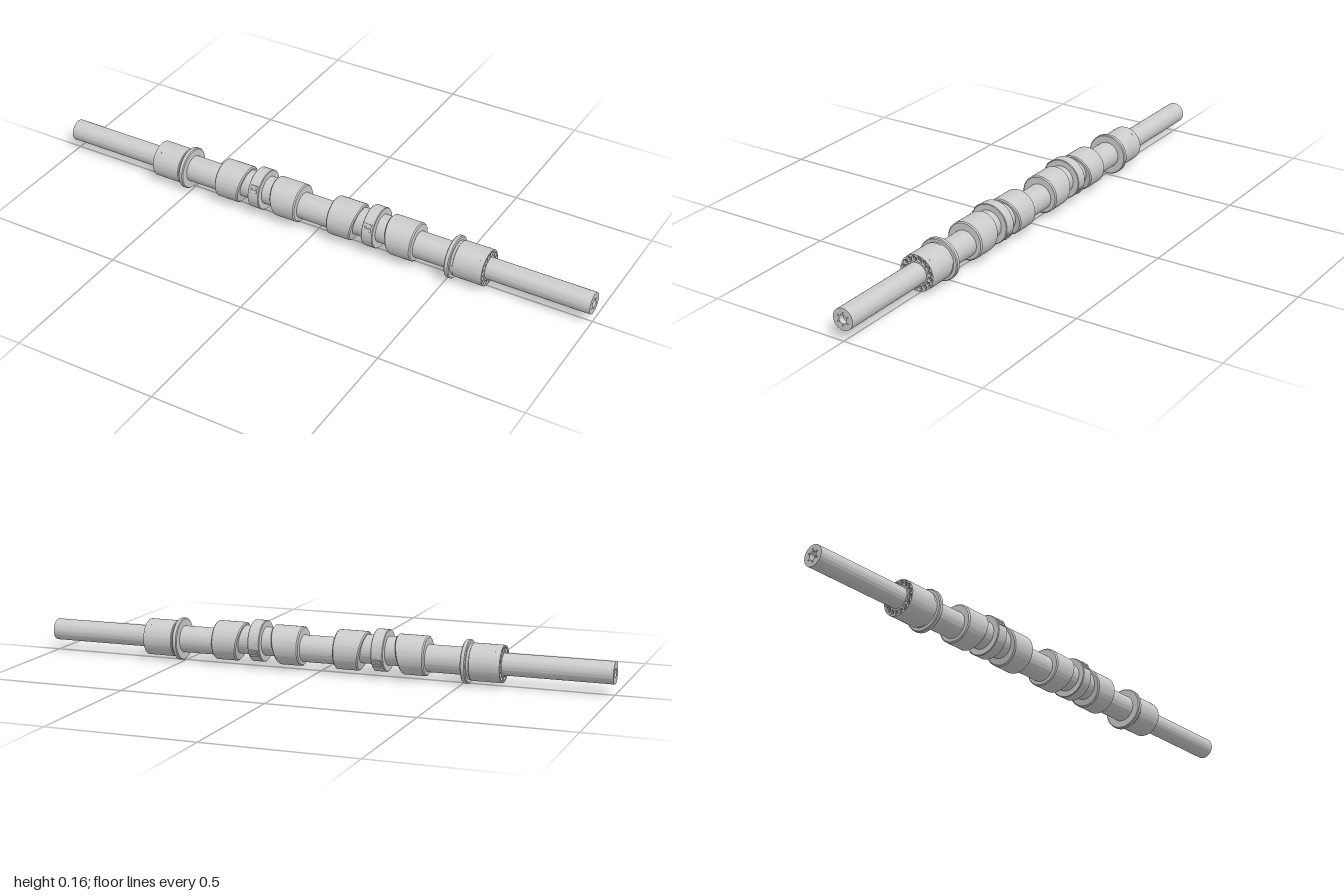
import * as THREE from 'three';
import { toCreasedNormals } from 'three/addons/utils/BufferGeometryUtils.js';

const AXIS = 0.073; // height of the main axis
const PIN = 0.088; // height of the raised crank pins
const grey = new THREE.MeshStandardMaterial({ color: 0xcccccc });

function add(group, name, geometry) {
  const mesh = new THREE.Mesh(geometry, grey);
  mesh.name = name;
  group.add(mesh);
  return mesh;
}

// Solid of revolution along x from [x, radius] points listed with rising x
function turned(points, y) {
  const profile = points.map(([x, r]) => new THREE.Vector2(r, x));
  const geo = new THREE.LatheGeometry(profile, 64);
  geo.rotateZ(-Math.PI / 2);
  return toCreasedNormals(geo.translate(0, y, 0), 0.5);
}

function disc(x0, x1, r, y, bevel = 0.002) {
  return turned([[x0, 0], [x0, r - bevel], [x0 + bevel, r], [x1 - bevel, r], [x1, r - bevel], [x1, 0]], y);
}

// Round plate with holes, extruded along +x from x0; holes are [angle, distance, radius]
function drilledPlate(x0, x1, r, holes) {
  const shape = new THREE.Shape().absarc(0, 0, r, 0, Math.PI * 2);
  for (const [a, d, hr] of holes) {
    shape.holes.push(new THREE.Path().absarc(Math.cos(a) * d, Math.sin(a) * d, hr, 0, Math.PI * 2, true));
  }
  const geo = new THREE.ExtrudeGeometry(shape, { depth: x1 - x0, bevelEnabled: false, curveSegments: 32 });
  geo.rotateY(Math.PI / 2).translate(x0, AXIS, 0);
  return toCreasedNormals(geo, 0.5);
}

const ring = (count, d, r, start) =>
  Array.from({ length: count }, (_, i) => [start + (i * Math.PI * 2) / count, d, r]);

// Outer end of the shaft on the +x side
function shaftEnd() {
  const end = new THREE.Group();
  end.name = 'shaftEnd';

  // Long shaft with a centre bore and six small holes in its tip
  add(end, 'outputShaft', disc(0.5, 0.98, 0.037, AXIS, 0));
  add(end, 'shaftTip', drilledPlate(0.98, 1, 0.037, [[0, 0, 0.0148], ...ring(6, 0.0205, 0.0025, Math.PI / 2)]));

  // Bearing sleeve with thrust flange
  add(end, 'sleeve', turned([[0.505, 0], [0.505, 0.07], [0.508, 0.073], [0.519, 0.073], [0.522, 0.07],
    [0.522, 0.06], [0.53, 0.06], [0.532, 0.0625], [0.62, 0.0625], [0.62, 0]], AXIS));

  // Drilled sleeve face carrying sixteen recessed socket bolts
  const bolts = ring(16, 0.05, 0.0088, Math.PI / 16);
  add(end, 'sleeveFace', drilledPlate(0.62, 0.635, 0.0625, [[0, 0, 0.0369], ...bolts]));
  for (const [a, d] of bolts) {
    const bolt = add(end, 'bolt', turned([[0.62, 0.0065], [0.63, 0.0065], [0.631, 0.0055],
      [0.631, 0.0035], [0.626, 0.0035], [0.626, 0]], 0));
    bolt.position.set(0, AXIS + Math.sin(a) * d, -Math.cos(a) * d);
  }

  // Small radial dowels near the sleeve edge
  for (const side of [-1, 1]) {
    const tilt = side * 0.65;
    const dowel = add(end, 'dowel', new THREE.CylinderGeometry(0.0035, 0.0035, 0.006, 16));
    dowel.rotation.x = tilt;
    dowel.position.set(0.616, AXIS + Math.cos(tilt) * 0.0602, Math.sin(tilt) * 0.0602);
  }
  return end;
}

// Web from its journal face xj to its pin face xp, the pin face leaning back at the bottom
function web(xj, xp) {
  const dir = Math.sign(xp - xj);
  const y = 0.08, r = 0.067;
  const geo = disc(Math.min(xj, xp), Math.max(xj, xp), r, y, 0.004);
  const p = geo.attributes.position;
  for (let i = 0; i < p.count; i++) {
    if ((p.getX(i) - (xj + xp) / 2) * dir > 0) {
      p.setX(i, p.getX(i) - dir * 0.026 * (y + r - p.getY(i)) / (2 * r));
    }
  }
  return toCreasedNormals(geo, 0.5);
}

// One crank throw around its pin centre x
function crankThrow(x) {
  const crank = new THREE.Group();
  crank.name = 'crankThrow';
  add(crank, 'outerWeb', web(x - 0.158, x - 0.052));
  add(crank, 'innerWeb', web(x + 0.158, x + 0.052));
  add(crank, 'crankPin', disc(x - 0.08, x + 0.08, 0.049, PIN, 0));
  add(crank, 'pinCollar', disc(x - 0.021, x + 0.021, 0.071, PIN));

  // Clamp blocks and screws on the collar, one upper front and one lower back
  for (const a of [0.48, Math.PI + 0.48]) {
    const clamp = new THREE.Group();
    clamp.name = 'collarClamp';
    for (const dy of [-0.008, 0.008]) {
      add(clamp, 'clampBlock', new THREE.BoxGeometry(0.028, 0.01, 0.006)).position.set(0, dy, 0.0705);
    }
    for (const dx of [-0.008, 0.008]) {
      const screw = add(clamp, 'clampScrew', new THREE.CylinderGeometry(0.003, 0.003, 0.026, 12));
      screw.position.set(dx, 0, 0.071);
    }
    clamp.position.set(x, PIN, 0);
    clamp.rotation.x = -a;
    crank.add(clamp);
  }
  return crank;
}

export function createModel() {
  const model = new THREE.Group();
  model.name = 'crankshaft';

  // Main journals between the sleeves and the throws
  for (const [x0, x1] of [[-0.51, -0.36], [-0.08, 0.08], [0.36, 0.51]]) {
    add(model, 'mainJournal', disc(x0, x1, 0.046, AXIS, 0));
  }

  model.add(crankThrow(-0.22), crankThrow(0.22));

  // The two shaft ends are turned copies of each other
  const left = shaftEnd();
  const right = shaftEnd();
  right.rotation.y = Math.PI;
  model.add(left, right);
  return model;
}
